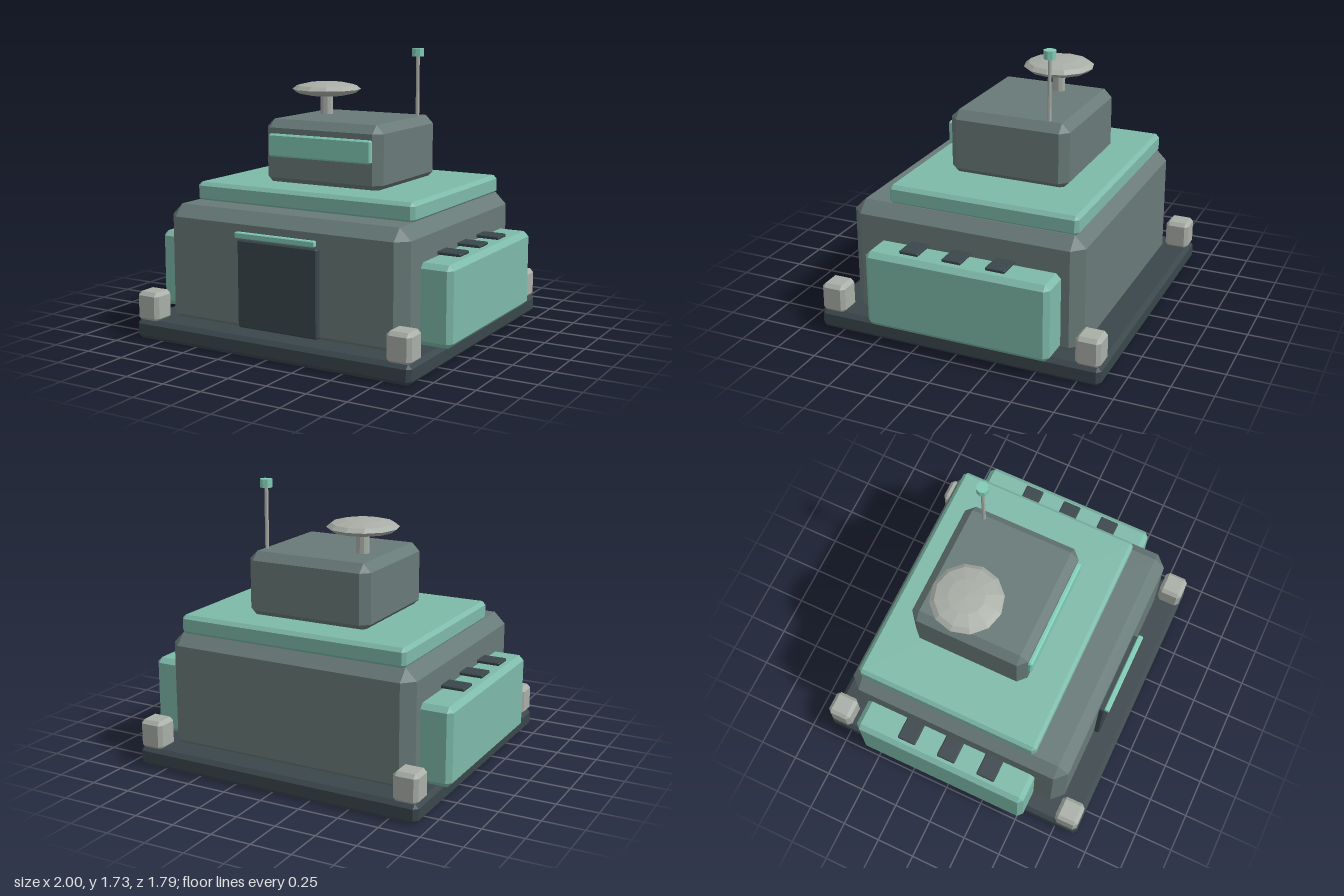
import * as THREE from 'three';
import { ConvexGeometry } from 'three/addons/geometries/ConvexGeometry.js';

const material = (name, color) => {
  const m = new THREE.MeshStandardMaterial({ color });
  m.name = name;
  return m;
};

// Box with evenly cut edges, given by its limits on each axis
function chamferBox([x0, x1], [y0, y1], [z0, z1], c) {
  const center = new THREE.Vector3((x0 + x1) / 2, (y0 + y1) / 2, (z0 + z1) / 2);
  const half = [(x1 - x0) / 2, (y1 - y0) / 2, (z1 - z0) / 2];
  const points = [];
  for (const sx of [-1, 1]) for (const sy of [-1, 1]) for (const sz of [-1, 1]) {
    for (let axis = 0; axis < 3; axis++) {
      const [x, y, z] = half.map((h, i) => (i === axis ? h : h - c));
      points.push(new THREE.Vector3(sx * x, sy * y, sz * z));
    }
  }
  const geometry = new ConvexGeometry(points);
  geometry.translate(center.x, center.y, center.z);
  return geometry;
}

// Faceted version of a smooth geometry
function faceted(geometry) {
  const flat = geometry.toNonIndexed();
  flat.computeVertexNormals();
  return flat;
}

export function createModel() {
  const model = new THREE.Group();
  model.name = 'outpost';
  const mint = material('mint panel', 0x7ebaa9);
  const glow = material('bright mint', 0x80cbb5);
  const grey = material('slate grey', 0x687a78);
  const dark = material('dark slate', 0x3a464b);
  const light = material('light grey', 0xa9aea7);

  const add = (name, geometry, mat, x = 0, y = 0, z = 0) => {
    const mesh = new THREE.Mesh(geometry, mat);
    mesh.name = name;
    mesh.position.set(x, y, z);
    model.add(mesh);
    return mesh;
  };
  const rod = (r, y0, y1, sides) =>
    faceted(new THREE.CylinderGeometry(r, r, y1 - y0, sides).translate(0, (y0 + y1) / 2, 0));

  // Main stack
  add('base', chamferBox([-0.93, 0.93], [0, 0.12], [-0.895, 0.895], 0.025), dark);
  add('body', chamferBox([-0.81, 0.81], [0.07, 0.81], [-0.73, 0.73], 0.07), grey);
  add('roof', chamferBox([-0.745, 0.745], [0.8, 0.92], [-0.68, 0.505], 0.022), mint);
  add('tower', chamferBox([-0.405, 0.405], [0.9, 1.305], [-0.475, 0.275], 0.05), grey);
  add('window', chamferBox([-0.355, 0.355], [1.08, 1.22], [0.25, 0.3], 0.01), glow);

  // Entrance
  add('door', chamferBox([-0.27, 0.27], [0.13, 0.655], [0.715, 0.765], 0.008), dark);
  add('doorLight', chamferBox([-0.27, 0.27], [0.67, 0.705], [0.76, 0.793], 0.005), glow);

  for (const side of [-1, 1]) {
    const label = side > 0 ? 'left' : 'right';
    const span = (a, b) => (side > 0 ? [a, b] : [-b, -a]);
    // Side pods with roof vents
    add(label + 'Pod', chamferBox(span(0.75, 1), [0.12, 0.595], [-0.61, 0.54], 0.03), mint);
    for (const z of [-0.27, 0, 0.27]) {
      add(label + 'Vent', chamferBox(span(0.77, 0.953), [0.603, 0.623], [z - 0.06, z + 0.06], 0.005), dark);
    }
    // Corner posts
    for (const end of [-1, 1]) {
      const z = end * 0.813;
      add(label + (end > 0 ? 'Front' : 'Back') + 'Post',
        chamferBox(span(0.772, 0.926), [0.11, 0.29], [z - 0.076, z + 0.076], 0.022), light);
    }
  }

  // Dish on its mast
  add('dishMast', rod(0.04, 1.29, 1.44, 10), light, -0.222, 0, -0.175);
  const dish = new THREE.SphereGeometry(0.217, 12, 6).scale(1, 0.047 / 0.217, 1);
  add('dish', faceted(dish), light, -0.222, 1.463, -0.175);

  // Antenna and beacon
  add('antenna', rod(0.012, 1.29, 1.69, 8), light, 0.338, 0, -0.34);
  add('beacon', rod(0.038, 1.675, 1.725, 8), glow, 0.338, 0, -0.34);

  return model;
}
